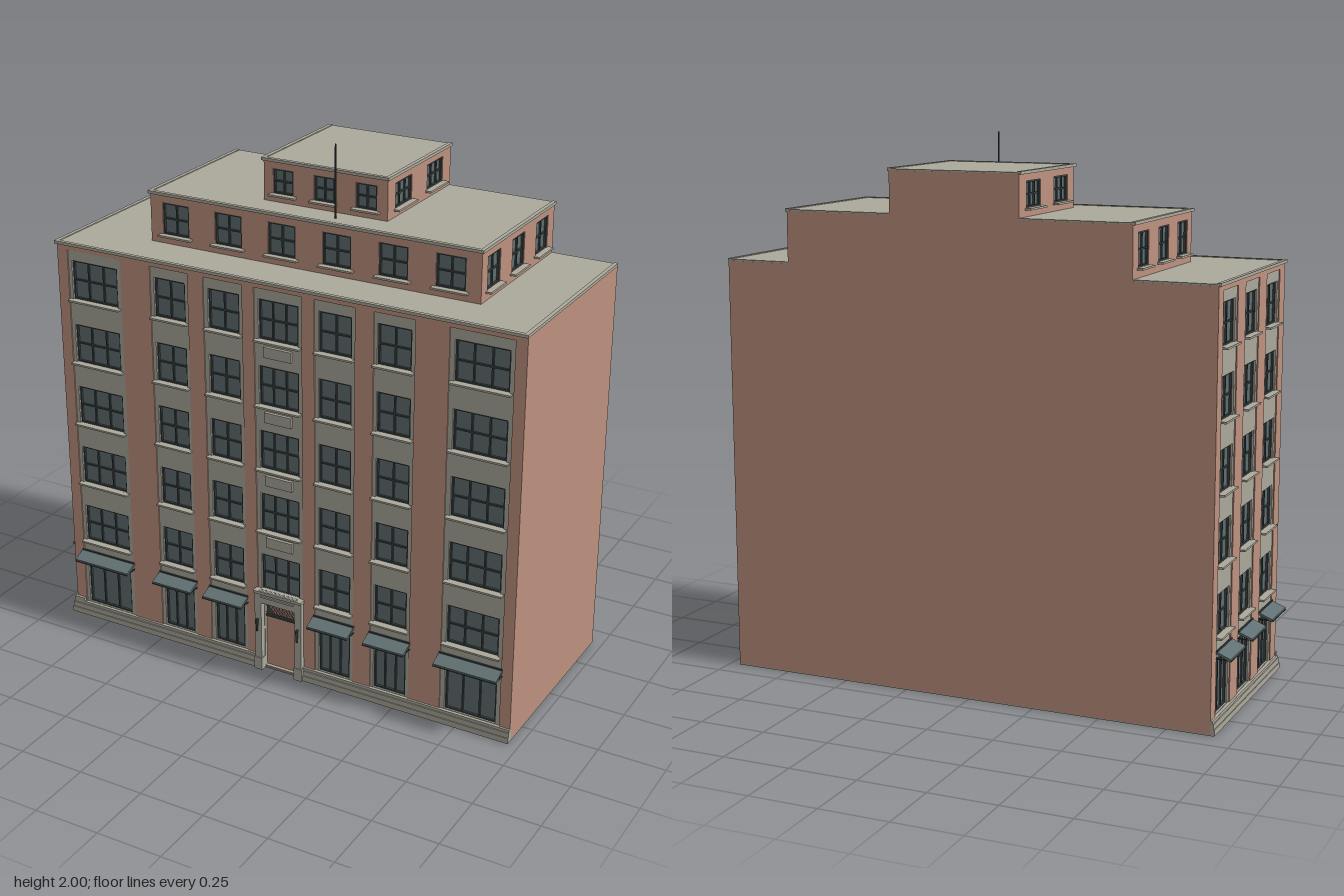
import * as THREE from 'three';
import { mergeGeometries } from 'three/addons/utils/BufferGeometryUtils.js';

const mat = (name, color) => Object.assign(new THREE.MeshStandardMaterial({ color }), { name });

// Box from min/max corners
function box(x0, x1, y0, y1, z0, z1) {
  const g = new THREE.BoxGeometry(x1 - x0, y1 - y0, z1 - z0);
  return g.translate((x0 + x1) / 2, (y0 + y1) / 2, (z0 + z1) / 2);
}

// Wall panel with rectangular openings [x0, x1, y0, y1]; its outer face is at z = out
function panel([x0, x1, y0, y1], openings, depth, out) {
  const trace = (p, a, b, c, d) => p.moveTo(a, c).lineTo(b, c).lineTo(b, d).lineTo(a, d).closePath();
  const shape = trace(new THREE.Shape(), x0, x1, y0, y1);
  for (const [a, b, c, d] of openings) shape.holes.push(trace(new THREE.Path(), a, b, c, d));
  return new THREE.ExtrudeGeometry(shape, { depth, bevelEnabled: false }).translate(0, 0, out - depth);
}

export function createModel() {
  const brick = mat('brick', 0xbd917e);
  const stone = mat('stone', 0xaba89b);
  const glass = mat('glass', 0x5f6c6e);
  const frame = mat('darkFrame', 0x3a4243);
  const canvas = mat('awningSlate', 0x617072);
  const model = new THREE.Group();
  model.name = 'building';

  const add = (parent, name, geos, material) => {
    const list = [].concat(geos);
    if (!list.length) return;
    const mesh = new THREE.Mesh(list.length > 1 ? mergeGeometries(list) : list[0], material);
    mesh.name = name;
    parent.add(mesh);
  };

  // Facade groups share a local frame: x along the wall, z outward
  const facade = (name, angle) => {
    const g = new THREE.Group();
    g.name = name;
    g.rotation.y = angle;
    model.add(g);
    return { g, frames: [], panes: [], sills: [], awnings: [], fittings: [] };
  };
  const finish = (f) => {
    add(f.g, 'windowFrames', f.frames, frame);
    add(f.g, 'windowPanes', f.panes, glass);
    add(f.g, 'windowSills', f.sills, stone);
    add(f.g, 'awnings', f.awnings, canvas);
    add(f.g, 'awningFittings', f.fittings, frame);
  };

  // Framed window with cols x 2 panes set back behind the wall face
  function addWindow(f, [x0, x1, y0, y1], out, cols, depth, split = 0.5, sill = true) {
    const t = 0.006, back = out - depth;
    f.panes.push(box(x0, x1, y0, y1, back - 0.002, back + 0.004));
    for (const x of [x0, x1 - t]) f.frames.push(box(x, x + t, y0, y1, back, back + 0.012));
    for (const y of [y0, y1 - t]) f.frames.push(box(x0, x1, y, y + t, back, back + 0.012));
    const ym = y0 + (y1 - y0) * split;
    f.frames.push(box(x0, x1, ym - 0.003, ym + 0.003, back, back + 0.01));
    for (let i = 1; i < cols; i++) {
      const x = x0 + (x1 - x0) * i / cols;
      f.frames.push(box(x - 0.003, x + 0.003, y0, y1, back, back + 0.01));
    }
    if (sill) f.sills.push(box(x0 - 0.012, x1 + 0.012, y0 - 0.007, y0, back, out + 0.021));
  }

  // Sloping awning with closed ends, hanging rail and wall brackets
  function addAwning(f, x0, x1, out) {
    const s = new THREE.Shape();
    [[0, 0.276], [0, 0.285], [0.053, 0.264], [0.053, 0.257], [0.049, 0.257]].forEach(
      ([z, y], i) => (i ? s.lineTo(-z, y) : s.moveTo(-z, y)));
    const g = new THREE.ExtrudeGeometry(s, { depth: x1 - x0, bevelEnabled: false });
    f.awnings.push(g.rotateY(Math.PI / 2).translate(x0, 0, out));
    f.fittings.push(box(x0, x1, 0.255, 0.258, out + 0.05, out + 0.055));
    f.fittings.push(box(x0, x1, 0.283, 0.288, out, out + 0.005));
    for (const x of [x0, x1 - 0.004]) f.fittings.push(box(x, x + 0.004, 0.257, 0.261, out - 0.01, out + 0.05));
  }

  // Main facade: brick skin, pale vertical bays and stacked windows
  const ROWS = [1.33, 1.08, 0.83, 0.58, 0.33];
  function mainFacade(f, bounds, bays, out) {
    const strips = bays.map((b) => [b.s[0], b.s[1], b.door ? 0.005 : 0.05, 1.52]);
    add(f.g, 'brickSkin', panel(bounds, strips, 0.026, out), brick);
    const stonework = bays.map((b, i) => {
      const holes = ROWS.map((y) => [b.w[0], b.w[1], y, y + 0.15]);
      holes.forEach((h) => addWindow(f, h, out - 0.004, b.cols, 0.019));
      if (b.door) holes.push([-0.045, 0.095, 0.008, 0.29]);
      else {
        const h = [b.w[0], b.w[1], 0.055, 0.257];
        holes.push(h);
        addWindow(f, h, out - 0.004, 3, 0.019, 0.9, false);
        addAwning(f, b.s[0] - 0.005, b.s[1] + 0.005, out);
      }
      return panel(strips[i], holes, 0.022, out - 0.004);
    });
    add(f.g, 'stoneBays', stonework, stone);
  }

  const Z = 0.36, L = 0.91;
  add(model, 'mainBlock', box(-0.885, 0.96, 0.004, 1.54, -0.415, 0.336), brick);
  add(model, 'foundation', box(-L, 0.96, 0, 0.004, -0.415, Z), stone);

  // Front
  const front = facade('frontFacade', 0);
  mainFacade(front, [-L, 0.96, 0.004, 1.54], [
    { s: [-0.865, -0.632], w: [-0.85, -0.652], cols: 3 },
    { s: [-0.505, -0.345], w: [-0.49, -0.36], cols: 2 },
    { s: [-0.28, -0.12], w: [-0.263, -0.135], cols: 2 },
    { s: [-0.072, 0.12], w: [-0.056, 0.104], cols: 3, door: true },
    { s: [0.17, 0.328], w: [0.185, 0.313], cols: 2 },
    { s: [0.4, 0.556], w: [0.412, 0.541], cols: 2 },
    { s: [0.682, 0.917], w: [0.7, 0.9], cols: 3 },
  ], Z);
  // Raised panels between the central windows
  const plaques = ROWS.slice(0, 4).map((y) => box(-0.03, 0.08, y - 0.062, y - 0.022, Z - 0.006, Z + 0.008));
  add(front.g, 'spandrelPanels', plaques, stone);
  finish(front);

  // Side facing -x
  const side = facade('sideFacade', -Math.PI / 2);
  mainFacade(side, [-0.415, 0.336, 0.004, 1.54], [-0.283, -0.035, 0.215].map((c) => (
    { s: [c - 0.08, c + 0.08], w: [c - 0.064, c + 0.064], cols: 2 })), L);
  finish(side);

  // Stepped plinth along both street sides, broken at the doorway
  const plinth = [];
  for (const [h0, h1, d] of [[0, 0.022, 0.015], [0.022, 0.042, 0.012], [0.042, 0.053, 0.008]]) {
    plinth.push(box(-L - d, -0.07, h0, h1, Z - 0.01, Z + d), box(0.118, 0.96, h0, h1, Z - 0.01, Z + d));
    plinth.push(box(-L - d, -L + 0.01, h0, h1, -0.415, Z));
  }
  plinth.push(box(-0.915, -0.87, 0.053, 0.068, Z - 0.005, Z + 0.01));
  add(model, 'plinth', plinth, stone);

  // Entrance
  const entrance = new THREE.Group();
  entrance.name = 'entrance';
  model.add(entrance);
  const surround = [box(-0.075, 0.123, 0.286, 0.325, Z - 0.01, Z + 0.02), box(-0.078, 0.126, 0.325, 0.336, Z - 0.01, Z + 0.026)];
  surround.push(box(-0.045, 0.093, 0.312, 0.32, Z + 0.01, Z + 0.026));
  for (const x of [-0.075, 0.095]) {
    surround.push(box(x, x + 0.028, 0, 0.286, Z - 0.02, Z + 0.02));
    surround.push(box(x - 0.003, x + 0.031, 0, 0.05, Z - 0.02, Z + 0.024));
  }
  for (let i = 0; i < 9; i++) {
    const x = -0.052 + i * 0.0185;
    surround.push(box(x, x + 0.009, 0.336, 0.342, Z + 0.012, Z + 0.03));
  }
  add(entrance, 'doorSurround', surround, stone);
  add(entrance, 'door', box(-0.045, 0.095, 0.008, 0.222, 0.335, 0.343), brick);
  add(entrance, 'transom', [box(-0.045, 0.095, 0.222, 0.29, 0.335, 0.343), box(-0.045, 0.095, 0.218, 0.226, 0.34, 0.35)], frame);
  const lattice = [];
  for (let i = 0; i < 8; i++) for (const s of [-1, 1]) {
    lattice.push(new THREE.BoxGeometry(0.004, 0.066, 0.004).rotateZ(s * 0.7).translate(-0.024 + i * 0.014, 0.257, 0.346));
  }
  add(entrance, 'transomLattice', lattice, brick);
  const lamps = [];
  for (const x of [-0.061, 0.109]) {
    lamps.push(new THREE.CylinderGeometry(0.005, 0.004, 0.045, 6).translate(x, 0.19, Z + 0.028));
    lamps.push(box(x - 0.003, x + 0.003, 0.212, 0.218, Z + 0.015, Z + 0.032));
  }
  add(entrance, 'wallLamps', lamps, frame);

  // Roof slab whose top is at y, with a low rim on the three open sides
  function roof(name, x0, x1, y, z1) {
    const a = x0 - 0.007, b = x1 + 0.007, c = z1 + 0.008, r = 0.015, top = y + 0.003;
    add(model, name, [box(a, b, y - 0.008, y, -0.414, c), box(a, b, y, top, c - r, c),
      box(a, a + r, y, top, -0.414, c - r), box(b - r, b, y, top, -0.414, c - r)], stone);
  }
  roof('mainRoof', -L, 0.955, 1.546, Z);

  // Setback storeys with windows on three sides
  function tier(name, x0, x1, y0, y1, z1, wy, fronts, fw, sides, sw, cols) {
    const d = 0.015;
    add(model, name + 'Core', box(x0 + d, x1 - d, y0, y1, -0.415, z1 - d), brick);
    const walls = [
      ['Front', 0, x0, x1, z1, fronts, fw, 2],
      ['Right', -Math.PI / 2, -0.415, z1 - d, -x0, sides, sw, cols],
      ['Left', Math.PI / 2, d - z1, 0.415, x1, sides.map((v) => -v), sw, cols],
    ];
    for (const [label, angle, u0, u1, out, centres, w, n] of walls) {
      const f = facade(name + label, angle);
      const holes = centres.map((c) => [c - w / 2, c + w / 2, wy[0], wy[1]]);
      holes.forEach((h) => addWindow(f, h, out, n, d));
      add(f.g, 'brickWall', panel([u0, u1, y0, y1], holes, d, out), brick);
      finish(f);
    }
    roof(name + 'Roof', x0, x1, y1 + 0.005, z1);
  }
  tier('middleStorey', -0.61, 0.71, 1.54, 1.73, 0.185, [1.58, 1.7],
    [-0.502, -0.28, -0.06, 0.16, 0.38, 0.597], 0.112, [0.088, -0.11, -0.312], 0.1, 2);
  tier('topStorey', -0.198, 0.297, 1.73, 1.885, 0.072, [1.765, 1.857],
    [-0.118, 0.047, 0.214], 0.083, [-0.047, -0.29], 0.122, 3);

  // Antenna
  add(model, 'antenna', new THREE.CylinderGeometry(0.003, 0.003, 0.27, 6).translate(0.124, 1.865, 0.13), frame);

  return model;
}
